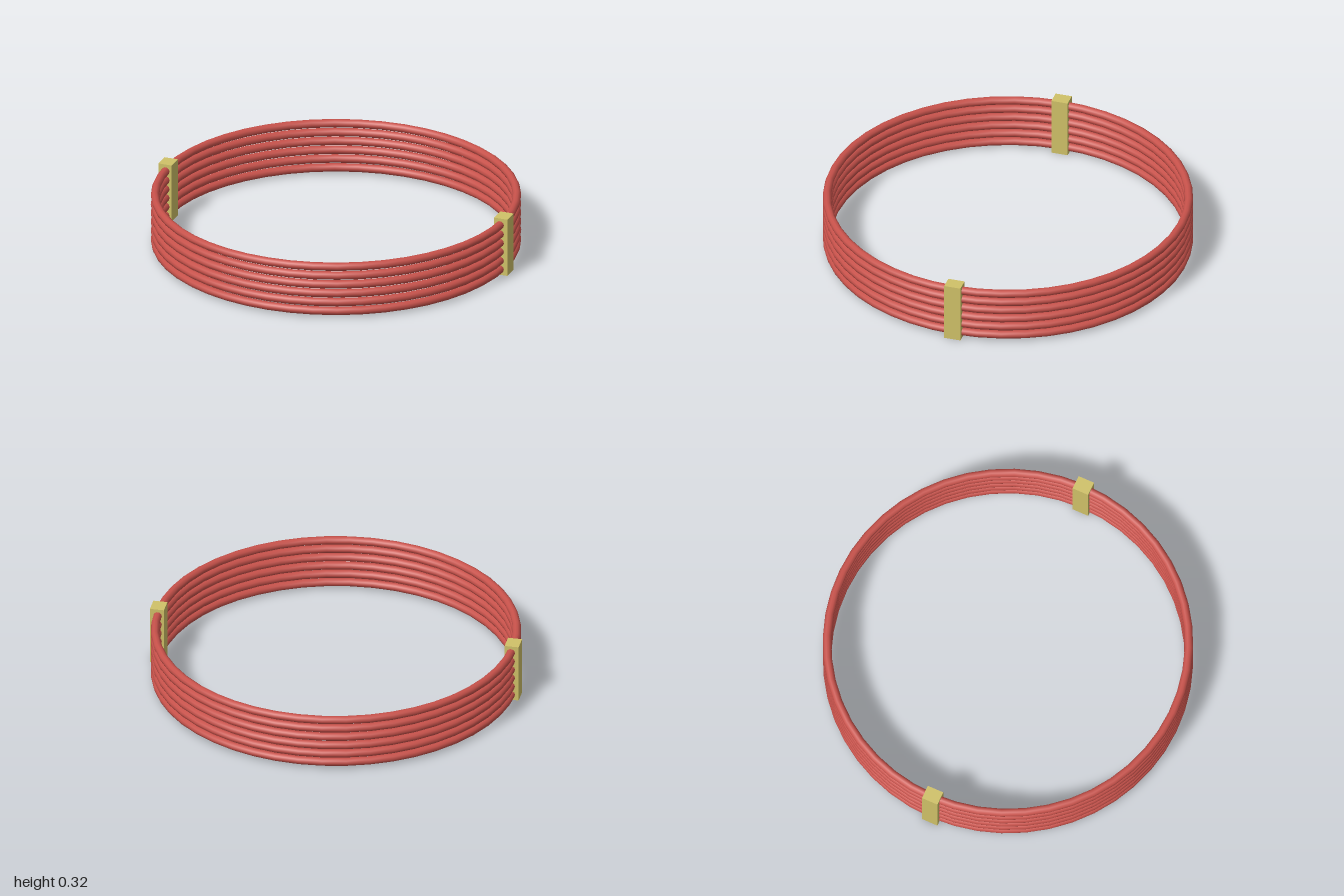
import * as THREE from 'three';

export function createModel() {
  const model = new THREE.Group();
  model.name = 'coiledBangle';

  const red = new THREE.MeshStandardMaterial({ color: 0xc8524b });
  red.name = 'red';
  const gold = new THREE.MeshStandardMaterial({ color: 0xcfc168 });
  gold.name = 'pale gold';

  // Six stacked rings
  const ringGeometry = new THREE.TorusGeometry(0.961, 0.0225, 10, 48);
  ringGeometry.rotateX(Math.PI / 2);
  for (let i = 0; i < 6; i++) {
    const ring = new THREE.Mesh(ringGeometry, red);
    ring.name = `ring${i + 1}`;
    ring.position.y = 0.0325 + i * 0.051;
    model.add(ring);
  }

  // Upright clasps holding the rings together on both sides
  const claspGeometry = new THREE.BoxGeometry(0.076, 0.325, 0.09);
  for (const [name, side] of [['leftClasp', 1], ['rightClasp', -1]]) {
    const clasp = new THREE.Mesh(claspGeometry, gold);
    clasp.name = name;
    clasp.position.set(side * 0.962, 0.1625, 0);
    model.add(clasp);
  }

  return model;
}
